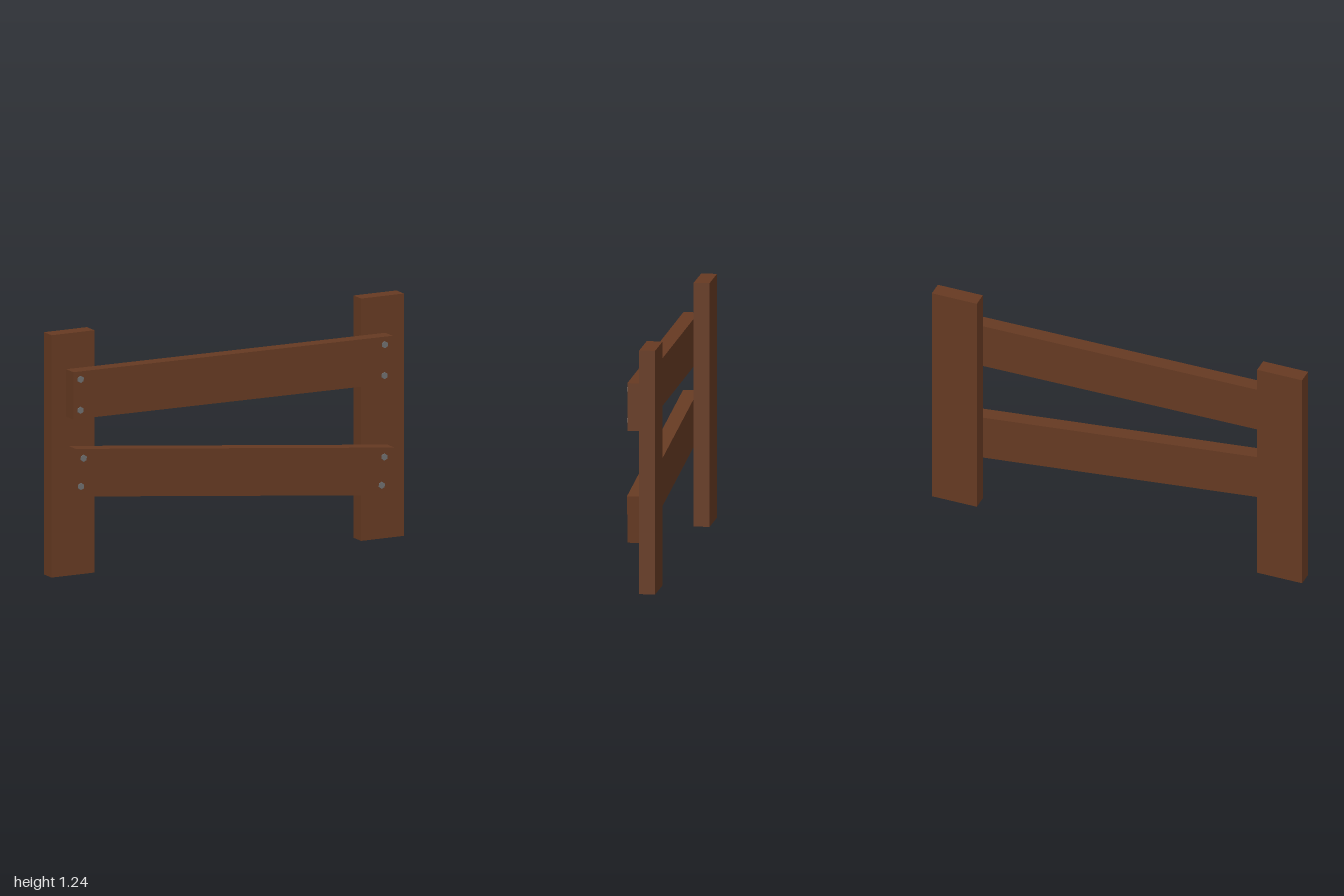
import * as THREE from 'three';

export function createModel() {
  const wood = new THREE.MeshStandardMaterial({ name: 'brown wood', color: 0x663a22 });
  const steel = new THREE.MeshStandardMaterial({ name: 'grey steel', color: 0x6e6e6e });
  const model = new THREE.Group();
  model.name = 'fence';

  const boardWidth = 0.243;

  // Upright posts, standing behind the rails
  const postGeometry = new THREE.BoxGeometry(boardWidth, 1.243, 0.08);
  for (const side of [-1, 1]) {
    const post = new THREE.Mesh(postGeometry, wood);
    post.name = side > 0 ? 'leftPost' : 'rightPost';
    post.position.set(side * (1 - boardWidth / 2), 1.243 / 2, -0.041);
    model.add(post);
  }

  // Six-sided bolt head facing +z, sunk slightly into the rail
  const boltGeometry = new THREE.CylinderGeometry(0.018, 0.018, 0.012, 6).toNonIndexed();
  boltGeometry.rotateX(Math.PI / 2);
  boltGeometry.computeVertexNormals();

  // A tilted rail with two bolts at each end
  function addRail(name, { x, y, length, tilt, boltX, boltY }) {
    const rail = new THREE.Group();
    rail.name = name;
    rail.position.set(x, y, 0);
    rail.rotation.z = tilt;

    const board = new THREE.Mesh(new THREE.BoxGeometry(length, boardWidth, 0.077), wood);
    board.name = name + 'Board';
    board.position.z = 0.0375;
    rail.add(board);

    for (const sx of [-1, 1]) {
      for (const sy of [-1, 1]) {
        const bolt = new THREE.Mesh(boltGeometry, steel);
        bolt.name = 'bolt';
        bolt.position.set(sx * boltX - 0.003, sy * boltY + 0.002, 0.076);
        rail.add(bolt);
      }
    }
    model.add(rail);
  }

  addRail('upperRail', { x: -0.012, y: 0.935, length: 1.812, tilt: -0.004, boltX: 0.863, boltY: 0.079 });
  addRail('lowerRail', { x: -0.012, y: 0.451, length: 1.82, tilt: -0.103, boltX: 0.858, boltY: 0.072 });

  return model;
}
